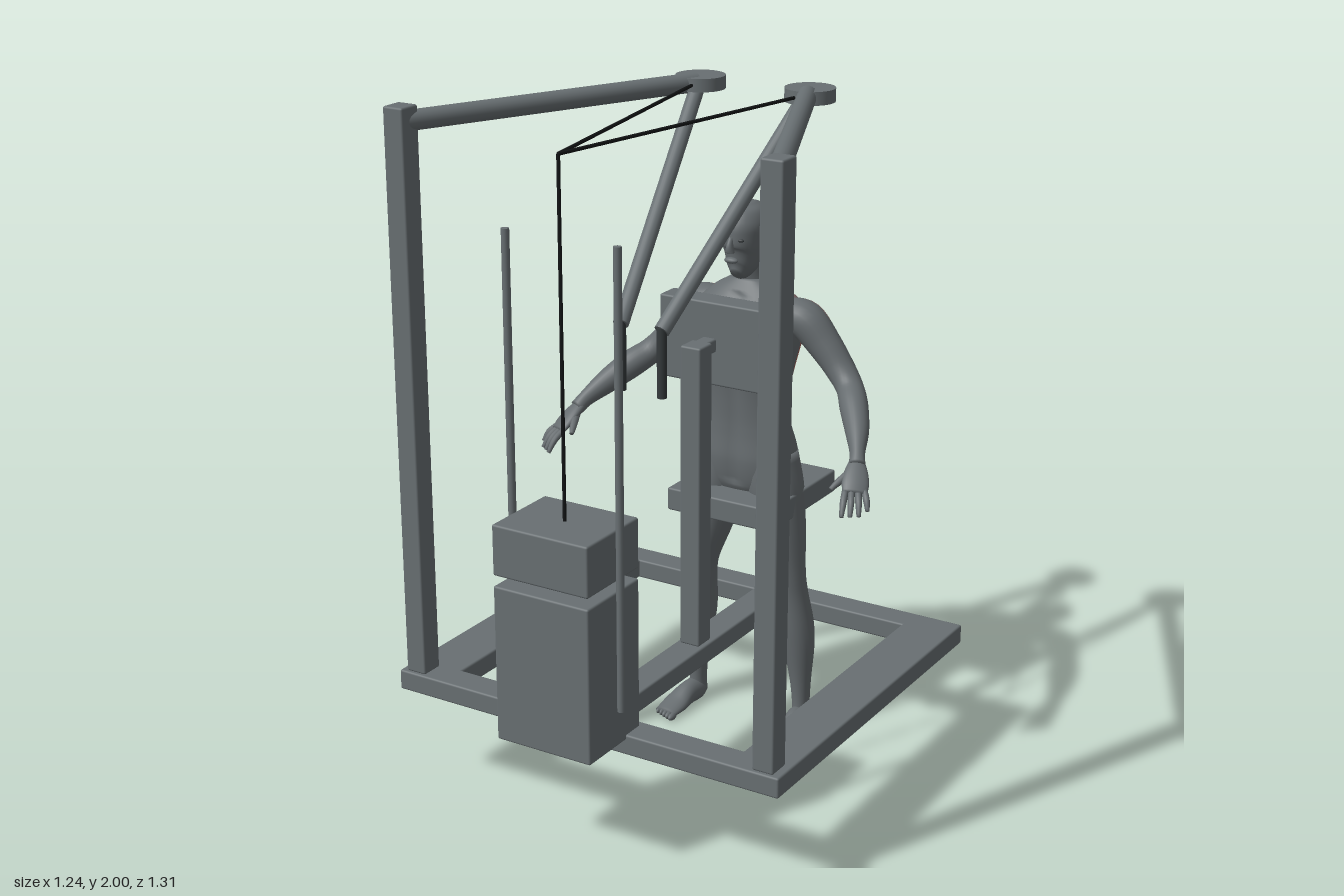
import * as THREE from 'three';
import { RoundedBoxGeometry } from 'three/addons/geometries/RoundedBoxGeometry.js';

const mat = (name, color) => {
  const m = new THREE.MeshStandardMaterial({ color });
  m.name = name;
  return m;
};
const V = (x, y, z) => new THREE.Vector3(x, y, z);

export function createModel() {
  const root = new THREE.Group();
  root.name = 'pulldownMachineWithFigure';
  const steel = mat('steelGrey', 0x686f72);
  const grip = mat('darkGrip', 0x34393b);
  const black = mat('cableBlack', 0x121415);
  const skin = mat('figureGrey', 0x666c6f);
  const pale = mat('muscleFade', 0x8c7472);
  const blend = mat('muscleBlend', 0xa0584f);
  const red = mat('muscleRed', 0xbb4a3f);
  const tones = [skin, pale, blend, red];

  const machine = new THREE.Group();
  machine.name = 'machine';
  const figure = new THREE.Group();
  figure.name = 'figure';
  root.add(machine, figure);

  const add = (parent, name, geo, material) => {
    const m = new THREE.Mesh(geo, material);
    m.name = name;
    parent.add(m);
    return m;
  };
  // Box given by its lower and upper limits on each axis
  const box = (name, x0, x1, y0, y1, z0, z1, material = steel) => {
    const geo = new RoundedBoxGeometry(x1 - x0, y1 - y0, z1 - z0, 2, 0.006);
    add(machine, name, geo, material).position.set((x0 + x1) / 2, (y0 + y1) / 2, (z0 + z1) / 2);
  };
  // Round bar between two points
  const bar = (name, a, b, r, material = steel, sides = 20) => {
    const d = b.clone().sub(a);
    const m = add(machine, name, new THREE.CylinderGeometry(r, r, d.length(), sides), material);
    m.position.copy(a).add(b).multiplyScalar(0.5);
    m.quaternion.setFromUnitVectors(V(0, 1, 0), d.normalize());
  };
  // Smooth body through sections [x, y, z, halfWidth, halfDepth]
  const loft = (name, secs, { side = V(1, 0, 0), sx = 1, n = 24, rows = 30, shape = () => 1, paint = () => 0 } = {}) => {
    const path = new THREE.CatmullRomCurve3(secs.map(s => V(s[0] * sx, s[1], s[2])), false, 'catmullrom');
    const size = new THREE.CatmullRomCurve3(secs.map(s => V(s[3], s[4], 0)), false, 'catmullrom');
    const ref = V(side.x * sx, side.y, side.z);
    const pts = [], lists = tones.map(() => []);
    for (let i = 0; i <= rows; i++) {
      const c = path.getPoint(i / rows), r = size.getPoint(i / rows), t = path.getTangent(i / rows);
      const u = ref.clone().addScaledVector(t, -ref.dot(t)).normalize();
      const v = t.clone().cross(u);
      for (let j = 0; j < n; j++) {
        const a = j / n * Math.PI * 2, k = shape(a, c);
        pts.push(c.clone().addScaledVector(u, r.x * k * Math.cos(a)).addScaledVector(v, r.y * k * Math.sin(a)));
      }
    }
    const face = (a, b, c) => {
      const mid = pts[a].clone().add(pts[b]).add(pts[c]).divideScalar(3);
      lists[paint(mid)].push(a, b, c);
    };
    for (let i = 0; i < rows; i++) for (let j = 0; j < n; j++) {
      const a = i * n + j, b = i * n + (j + 1) % n;
      face(a, b, a + n);
      face(b, b + n, a + n);
    }
    const first = pts.length, last = first + 1;
    pts.push(path.getPoint(0), path.getPoint(1));
    for (let j = 0; j < n; j++) {
      const k = (j + 1) % n;
      face(first, k, j);
      face(last, rows * n + j, rows * n + k);
    }
    const geo = new THREE.BufferGeometry().setFromPoints(pts);
    geo.setIndex(lists.flat());
    let start = 0;
    lists.forEach((l, i) => {
      if (l.length) geo.addGroup(start, l.length, i);
      start += l.length;
    });
    geo.computeVertexNormals();
    return add(figure, name, geo, tones);
  };
  const ball = (name, x, y, z, rx, ry, rz, material = skin) => {
    const m = add(figure, name, new THREE.SphereGeometry(1, 16, 12), material);
    m.position.set(x, y, z);
    m.scale.set(rx, ry, rz);
  };

  // Base frame
  box('baseFront', -0.62, 0.62, 0.31, 0.37, 0.39, 0.48);
  box('baseBack', -0.62, 0.62, 0.31, 0.37, -0.645, -0.555);
  box('baseCentreBeam', -0.045, 0.045, 0.31, 0.37, -0.56, 0.4);

  // Weight stack, seat and chest support
  box('weightStackLower', -0.15, 0.15, 0.355, 0.805, 0.41, 0.655);
  box('weightStackUpper', -0.15, 0.15, 0.835, 0.98, 0.41, 0.655);
  box('seat', -0.177, 0.177, 0.705, 0.775, -0.655, -0.26);
  box('supportPost', -0.033, 0.033, 0.37, 1.285, -0.163, -0.095);
  box('padBracket', -0.022, 0.022, 1.245, 1.285, -0.21, -0.13);
  box('chestPad', -0.165, 0.165, 1.145, 1.39, -0.277, -0.2);
  bar('cableDrop', V(0, 1.957, 0.535), V(0, 0.975, 0.535), 0.005, black, 8);

  for (const s of [1, -1]) {
    box('baseSide', s * 0.5425 - 0.0775, s * 0.5425 + 0.0775, 0.31, 0.37, -0.645, 0.48);
    box('upright', s * 0.567 - 0.032, s * 0.567 + 0.032, 0.37, 2, 0.403, 0.472);
    bar('topArm', V(s * 0.56, 1.957, 0.43), V(s * 0.18, 1.957, -0.42), 0.028);
    bar('pulley', V(s * 0.177, 1.938, -0.442), V(s * 0.177, 1.976, -0.442), 0.072, steel, 32);
    bar('lever', V(s * 0.172, 1.95, -0.42), V(s * 0.065, 1.41, 0.158), 0.022);
    bar('handle', V(s * 0.065, 1.42, 0.157), V(s * 0.065, 1.222, 0.157), 0.014, grip);
    bar('cable', V(s * 0.17, 1.957, -0.4), V(0, 1.957, 0.535), 0.005, black, 8);
    bar('guideRod', V(s * 0.17, 0.47, 0.532), V(s * 0.17, 1.745, 0.532), 0.011, steel, 12);
  }

  // Torso with a spine groove and highlighted back muscles
  loft('torso', [
    [0, 0.74, -0.435, 0.08, 0.06], [0, 0.8, -0.435, 0.145, 0.09], [0, 0.88, -0.435, 0.15, 0.1],
    [0, 0.97, -0.425, 0.132, 0.085], [0, 1.05, -0.418, 0.124, 0.08], [0, 1.15, -0.425, 0.14, 0.1],
    [0, 1.25, -0.432, 0.16, 0.118], [0, 1.32, -0.438, 0.162, 0.11], [0, 1.37, -0.44, 0.12, 0.075],
    [0, 1.41, -0.442, 0.055, 0.05]], {
    n: 48, rows: 60,
    shape: (a, c) => {
      const square = 1 + 0.07 * Math.sin(2 * a) ** 2;
      return square - (c.y > 0.8 && c.y < 1.37 ? 0.09 * Math.exp(-((Math.cos(a) / 0.16) ** 2)) : 0);
    },
    paint: p => {
      if (p.z > -0.455 || p.y < 0.97) return 0;
      const wide = Math.min(0.15, 0.045 + (p.y - 0.97) * 0.5);
      const edge = Math.abs(p.x) / wide;
      if (p.y > 1.345) return 1;
      if (p.y > 1.315) return 2;
      return edge < 0.8 ? 3 : edge < 1.02 ? 2 : 1;
    },
  });

  // Head and neck
  loft('neck', [[0, 1.36, -0.45, 0.065, 0.055], [0, 1.41, -0.442, 0.05, 0.05], [0, 1.46, -0.43, 0.045, 0.048],
    [0, 1.5, -0.42, 0.042, 0.045]]);
  loft('head', [[0, 1.432, -0.352, 0.018, 0.022], [0, 1.452, -0.37, 0.038, 0.05], [0, 1.49, -0.393, 0.054, 0.08],
    [0, 1.54, -0.405, 0.064, 0.092], [0, 1.58, -0.41, 0.066, 0.089], [0, 1.618, -0.412, 0.05, 0.068],
    [0, 1.637, -0.412, 0.018, 0.025]], { n: 32 });
  loft('nose', [[0, 1.55, -0.32, 0.007, 0.008], [0, 1.525, -0.312, 0.01, 0.014], [0, 1.508, -0.312, 0.014, 0.012]], { n: 12, rows: 10 });
  ball('lips', 0, 1.483, -0.32, 0.022, 0.009, 0.012);

  const across = V(0.8, 0, -0.6);
  for (const s of [1, -1]) {
    ball('ear', s * 0.064, 1.53, -0.422, 0.009, 0.03, 0.018);
    ball('eye', s * 0.026, 1.543, -0.325, 0.012, 0.005, 0.006, grip);

    // Leg and foot
    loft('leg', [[0.078, 0.88, -0.435, 0.075, 0.09], [0.095, 0.77, -0.432, 0.083, 0.092],
      [0.122, 0.64, -0.428, 0.07, 0.075], [0.148, 0.52, -0.426, 0.05, 0.054], [0.158, 0.45, -0.432, 0.046, 0.05],
      [0.168, 0.35, -0.445, 0.05, 0.055], [0.175, 0.27, -0.45, 0.046, 0.05], [0.181, 0.16, -0.452, 0.032, 0.035],
      [0.183, 0.08, -0.454, 0.026, 0.03], [0.183, 0.03, -0.454, 0.027, 0.034]], { sx: s, rows: 40 });
    loft('foot', [[0.183, 0.028, -0.488, 0.014, 0.018], [0.184, 0.036, -0.45, 0.03, 0.035],
      [0.189, 0.038, -0.4, 0.032, 0.037], [0.196, 0.024, -0.34, 0.04, 0.024],
      [0.2, 0.015, -0.285, 0.036, 0.014]], { sx: s });
    for (let i = 0; i < 5; i++)
      ball('toe', s * (0.17 + i * 0.0145), 0.012, -0.276 - i * 0.006, 0.01 - i * 0.0006, 0.011, 0.02);

    // Arm with faded highlight behind the shoulder
    loft('arm', [[0.115, 1.315, -0.445, 0.045, 0.055], [0.175, 1.302, -0.448, 0.055, 0.06],
      [0.235, 1.24, -0.45, 0.05, 0.05], [0.29, 1.175, -0.447, 0.043, 0.044], [0.335, 1.13, -0.425, 0.039, 0.04],
      [0.375, 1.095, -0.375, 0.042, 0.041], [0.42, 1.05, -0.31, 0.036, 0.034], [0.453, 1.01, -0.25, 0.025, 0.022],
      [0.468, 0.985, -0.22, 0.022, 0.024]], {
      side: V(0, 1, 0), sx: s, rows: 40,
      paint: p => (p.z < -0.465 && Math.abs(p.x) < 0.24 ? (Math.abs(p.x) < 0.17 ? 2 : 1) : 0),
    });

    // Hand with spread fingers and thumb
    loft('palm', [[0.46, 0.995, -0.235, 0.02, 0.016], [0.474, 0.972, -0.205, 0.033, 0.017],
      [0.486, 0.948, -0.178, 0.038, 0.016], [0.495, 0.928, -0.157, 0.034, 0.011]], { side: across, sx: s, rows: 14 });
    for (let i = 0; i < 4; i++) {
      const k = (i - 1.5) * 0.018, long = i === 3 ? 0.8 : 1;
      const at = (dx, dy, dz, spread, r) =>
        [0.493 + dx * long + across.x * k * spread, 0.932 + dy * long, -0.162 + dz * long + across.z * k * spread, r, r];
      loft('finger', [at(0, 0, 0, 1, 0.0095), at(0.014, -0.022, 0.026, 1.2, 0.0095), at(0.024, -0.055, 0.046, 1.35, 0.006)],
        { side: across, sx: s, n: 10, rows: 8 });
    }
    loft('thumb', [[0.462, 0.972, -0.205, 0.014, 0.014], [0.444, 0.952, -0.165, 0.011, 0.011], [0.432, 0.935, -0.135, 0.007, 0.007]],
      { side: across, sx: s, n: 10, rows: 8 });
  }
  return root;
}
